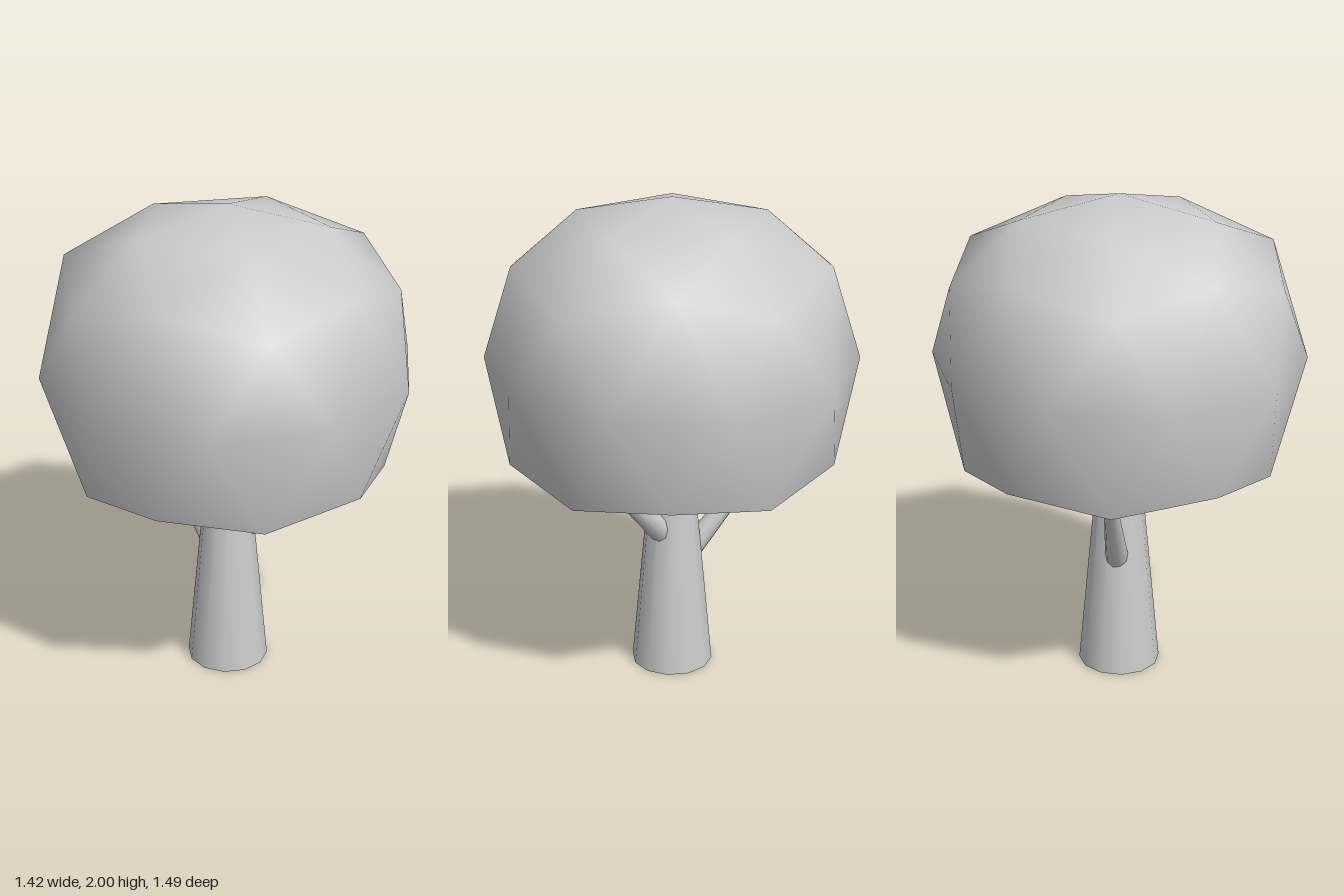
import * as THREE from 'three';

const material = new THREE.MeshStandardMaterial({ color: 0xcccccc });
const leafMaterial = new THREE.MeshStandardMaterial({ color: 0xcccccc, side: THREE.DoubleSide });

// Tapered round limb between two points
function limb(name, from, to, r0, r1, sides) {
  const a = new THREE.Vector3(...from), b = new THREE.Vector3(...to);
  const dir = b.clone().sub(a);
  const mesh = new THREE.Mesh(new THREE.CylinderGeometry(r1, r0, dir.length(), sides), material);
  mesh.position.copy(a).add(b).multiplyScalar(0.5);
  mesh.quaternion.setFromUnitVectors(new THREE.Vector3(0, 1, 0), dir.normalize());
  mesh.name = name;
  return mesh;
}

// Open-bottomed, squashed icosphere made from rings: pole, 5, 10, 10, 10 points
function canopyGeometry() {
  const pos = [0, 2, 0], index = [];
  const point = (deg, r, y) => {
    const t = THREE.MathUtils.degToRad(deg);
    pos.push(r * Math.cos(t), y, -r * Math.sin(t));
  };
  for (let k = 0; k < 5; k++) point(72 * k, 0.392, 1.92);
  for (let k = 0; k < 10; k++) k % 2 ? point(36 * k, 0.635, 1.78) : point(36 * k, 0.665, 1.68);
  for (let k = 0; k < 10; k++) point(36 * k + 18, 0.745, 1.355);
  for (let k = 0; k < 10; k++) k % 2 ? point(36 * k, 0.67, 0.98) : point(36 * k, 0.635, 0.925);

  const A = k => 1 + k % 5, B = k => 6 + (k + 10) % 10;
  const C = k => 16 + (k + 10) % 10, D = k => 26 + (k + 10) % 10;
  // crown
  for (let k = 0; k < 5; k++) {
    index.push(0, A(k), A(k + 1));
    index.push(A(k), B(2 * k), B(2 * k + 1));
    index.push(A(k), B(2 * k + 1), A(k + 1));
    index.push(A(k + 1), B(2 * k + 1), B(2 * k + 2));
  }
  // upper and lower side bands
  for (let j = 0; j < 10; j++) {
    index.push(B(j), C(j), B(j + 1));
    index.push(B(j), C(j - 1), C(j));
    index.push(C(j), D(j), D(j + 1));
    index.push(C(j), C(j - 1), D(j));
  }
  const geo = new THREE.BufferGeometry();
  geo.setAttribute('position', new THREE.Float32BufferAttribute(pos, 3));
  geo.setIndex(index);
  geo.computeVertexNormals();
  return geo;
}

export function createModel() {
  const tree = new THREE.Group();
  tree.name = 'tree';

  const canopy = new THREE.Mesh(canopyGeometry(), leafMaterial);
  canopy.name = 'canopy';
  tree.add(canopy);

  tree.add(limb('trunk', [0, 0, 0], [0, 1.45, 0], 0.17, 0.035, 12));

  // branches: left, right rear, front, upper rear
  tree.add(limb('leftBranch', [0.02, 0.57, 0], [0.55, 1.08, 0], 0.056, 0.01, 10));
  tree.add(limb('rightBranch', [-0.03, 0.45, -0.025], [-0.47, 1.13, -0.37], 0.052, 0.01, 10));
  tree.add(limb('frontBranch', [-0.02, 0.84, 0.03], [-0.05, 1.08, 0.26], 0.046, 0.004, 10));
  tree.add(limb('rearBranch', [0.02, 1.08, -0.03], [0.06, 1.32, -0.27], 0.046, 0.004, 10));

  return tree;
}
